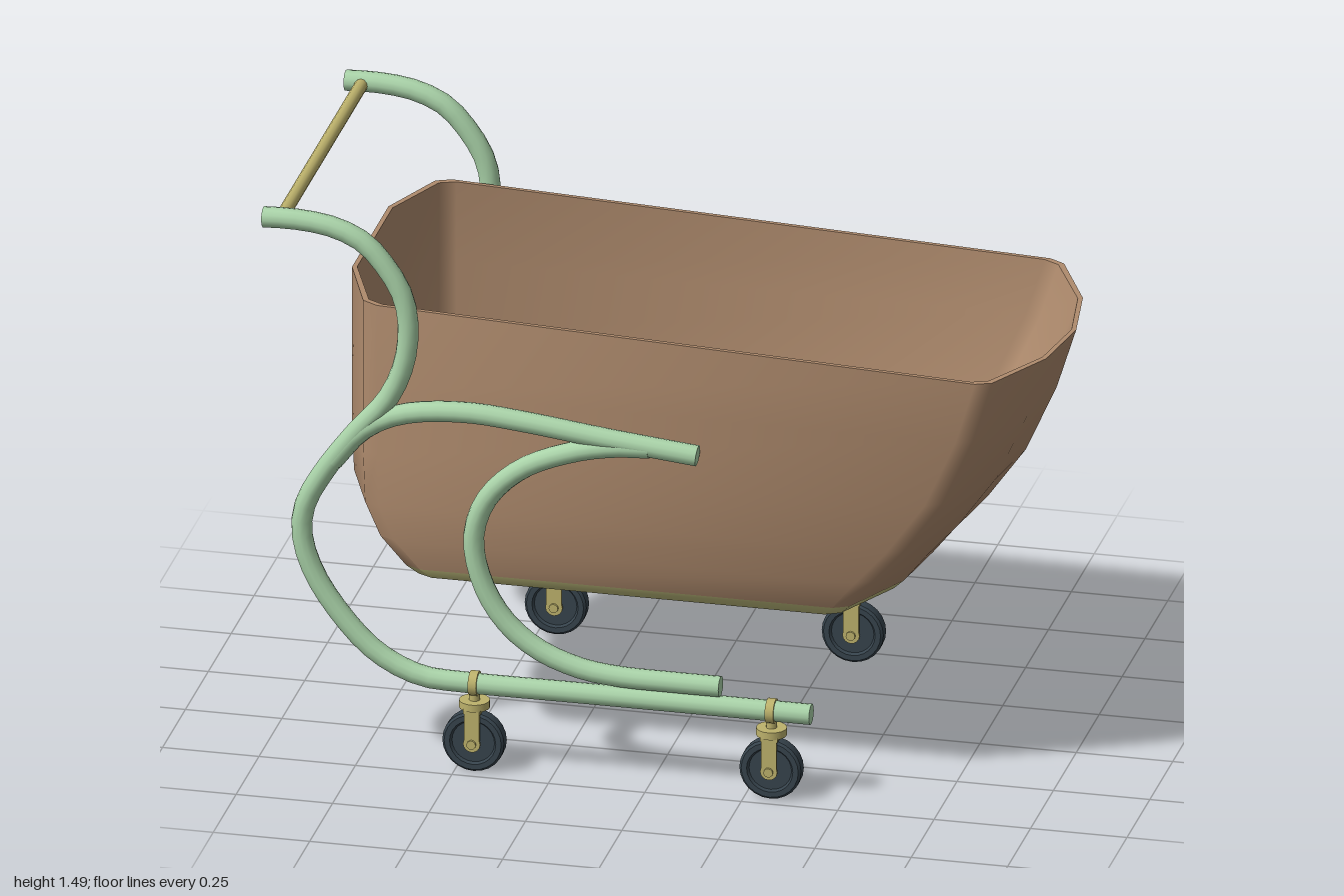
import * as THREE from 'three';
import { toCreasedNormals } from 'three/addons/utils/BufferGeometryUtils.js';

const mat = (name, color, side = THREE.FrontSide) => {
  const m = new THREE.MeshStandardMaterial({ color, side });
  m.name = name;
  return m;
};

export function createModel() {
  const green = mat('pale green tube', 0xa9d2a8);
  const brown = mat('tan tub', 0xb08c6e);
  const olive = mat('olive floor', 0xc2bf7e);
  const brass = mat('brass fittings', 0xbdb26c);
  const rubber = mat('dark rubber', 0x36434c);

  const model = new THREE.Group();
  model.name = 'cart';
  const add = (parent, name, geo, material, x = 0, y = 0, z = 0) => {
    const mesh = new THREE.Mesh(geo, material);
    mesh.name = name;
    mesh.position.set(x, y, z);
    parent.add(mesh);
    return mesh;
  };

  // Tub: rings of [height, rear x, front x, half width], floor to rim
  const levels = [
    [0.45, -0.04, -0.04, 0],
    [0.45, -0.64, 0.56, 0.2],
    [0.486, -0.69, 0.6, 0.39],
    [0.515, -0.72, 0.63, 0.411],
    [0.59, -0.785, 0.69, 0.415],
    [0.68, -0.825, 0.77, 0.415],
    [0.82, -0.83, 0.87, 0.415],
    [1.0, -0.83, 0.95, 0.415],
    [1.2, -0.83, 1.0, 0.415],
  ];
  const t = 0.012;
  const inner = levels.map(([y, a, b, w], i) => (i === 0
    ? [y + t, a, b, 0]
    : [i === levels.length - 1 ? y : y + t, a + t, b - t, w - t]));
  const rings = [...levels, ...inner.reverse()];

  // Half outline: [end, inset from that end, fraction of half width]
  const half = [
    [1, 0, 0], [1, 0.03, 0.48], [1, 0.125, 0.95], [1, 0.165, 1],
    [-1, 0.115, 1], [-1, 0.075, 0.95], [-1, 0, 0.48], [-1, 0, 0],
  ];
  const outline = [...half, ...half.slice(1, -1).reverse().map(([e, d, f]) => [e, d, -f])];
  const n = outline.length;
  const pos = [];
  for (const [y, rear, front, w] of rings) {
    for (const [end, inset, f] of outline) {
      const k = Math.min(1, w / 0.4);
      const x = end > 0 ? front - inset * k : rear + inset * k;
      // The rim slopes down towards the front
      pos.push(x, y > 1.1 ? 1.235 - 0.075 * (x + 0.83) / 1.83 : y, w * f);
    }
  }
  const index = [];
  for (let i = 0; i < rings.length - 1; i++) {
    for (let j = 0; j < n; j++) {
      const a = i * n + j, b = i * n + (j + 1) % n;
      index.push(a, a + n, b, b, a + n, b + n);
    }
  }
  let tub = new THREE.BufferGeometry();
  tub.setAttribute('position', new THREE.Float32BufferAttribute(pos, 3));
  tub.setIndex(index);
  const strip = n * 6, total = index.length;
  tub.addGroup(0, 3 * strip, 0);
  tub.addGroup(3 * strip, total - 6 * strip, 1);
  tub.addGroup(total - 3 * strip, 3 * strip, 0);
  tub = toCreasedNormals(tub, 0.8);
  add(model, 'tub', tub, [olive, brown]);

  // Bent tubes of one side frame, as x, y points
  const paths = {
    mainTube: [[-1, 1.46], [-0.92, 1.462], [-0.82, 1.45], [-0.74, 1.415], [-0.68, 1.35], [-0.64, 1.28],
      [-0.625, 1.2], [-0.637, 1.09], [-0.68, 0.99], [-0.755, 0.9], [-0.845, 0.775], [-0.893, 0.68],
      [-0.9, 0.6], [-0.865, 0.49], [-0.765, 0.35], [-0.69, 0.285], [-0.59, 0.242], [-0.48, 0.235],
      [-0.2, 0.235], [0.1, 0.235], [0.42, 0.235]],
    armTube: [[-0.82, 0.81], [-0.755, 0.89], [-0.69, 0.935], [-0.61, 0.962], [-0.47, 0.975],
      [-0.33, 0.965], [-0.12, 0.94], [0.125, 0.915]],
    innerTube: [[0.0, 0.924], [-0.09, 0.918], [-0.2, 0.893], [-0.33, 0.835], [-0.42, 0.745], [-0.455, 0.64],
      [-0.435, 0.52], [-0.375, 0.415], [-0.29, 0.345], [-0.18, 0.303], [-0.08, 0.29], [0.05, 0.288],
      [0.185, 0.288]],
  };
  const R = 0.027;
  const bentTube = (parent, name, pts) => {
    const curve = new THREE.CatmullRomCurve3(pts.map(([x, y]) => new THREE.Vector3(x, y, 0)), false, 'centripetal');
    add(parent, name, new THREE.TubeGeometry(curve, pts.length * 3, R, 12), green);
    for (const u of [0, 1]) {
      const p = curve.getPoint(u);
      const cap = add(parent, name + 'Cap', new THREE.CircleGeometry(R, 12), green, p.x, p.y, 0);
      const dir = curve.getTangent(u).multiplyScalar(u ? 1 : -1);
      cap.quaternion.setFromUnitVectors(new THREE.Vector3(0, 0, 1), dir);
    }
  };

  // Caster: clamp, swivel plate, fork and wheel
  const zCylinder = (r, h, s = 20) => new THREE.CylinderGeometry(r, r, h, s).rotateX(Math.PI / 2);
  const makeCaster = (x) => {
    const caster = new THREE.Group();
    caster.name = 'caster';
    caster.position.x = x;
    add(caster, 'clamp', new THREE.CylinderGeometry(0.032, 0.032, 0.022, 16).rotateZ(Math.PI / 2), brass, 0, 0.235);
    add(caster, 'stem', new THREE.CylinderGeometry(0.014, 0.014, 0.04, 12), brass, 0, 0.2);
    add(caster, 'swivelPlate', new THREE.CylinderGeometry(0.039, 0.039, 0.02, 20), brass, 0, 0.18);
    add(caster, 'forkCrown', new THREE.BoxGeometry(0.045, 0.012, 0.066), brass, 0, 0.168);
    for (const s of [-1, 1]) {
      add(caster, 'forkArm', new THREE.BoxGeometry(0.04, 0.1, 0.007), brass, 0, 0.12, s * 0.03);
      add(caster, 'forkTip', zCylinder(0.022, 0.007, 16), brass, 0, 0.08, s * 0.03);
    }
    add(caster, 'axle', zCylinder(0.012, 0.08, 12), brass, 0, 0.08);
    const profile = [[0.02, -0.014], [0.055, -0.014], [0.06, -0.021], [0.074, -0.021], [0.08, -0.015],
      [0.08, 0.015], [0.074, 0.021], [0.06, 0.021], [0.055, 0.014], [0.02, 0.014]];
    const wheel = new THREE.LatheGeometry(profile.map(([r, h]) => new THREE.Vector2(r, h)), 24);
    add(caster, 'wheel', toCreasedNormals(wheel.rotateX(Math.PI / 2), 0.6), rubber, 0, 0.08);
    add(caster, 'hub', zCylinder(0.024, 0.028), rubber, 0, 0.08);
    return caster;
  };

  for (const [name, z] of [['frontSideFrame', 0.45], ['backSideFrame', -0.45]]) {
    const frame = new THREE.Group();
    frame.name = name;
    frame.position.z = z;
    for (const key in paths) bentTube(frame, key, paths[key]);
    for (const x of [-0.453, 0.317]) frame.add(makeCaster(x));
    model.add(frame);
  }

  // Push bar between the two frames
  add(model, 'pushBar', zCylinder(0.017, 0.88, 12), brass, -0.955, 1.46, 0);
  return model;
}
